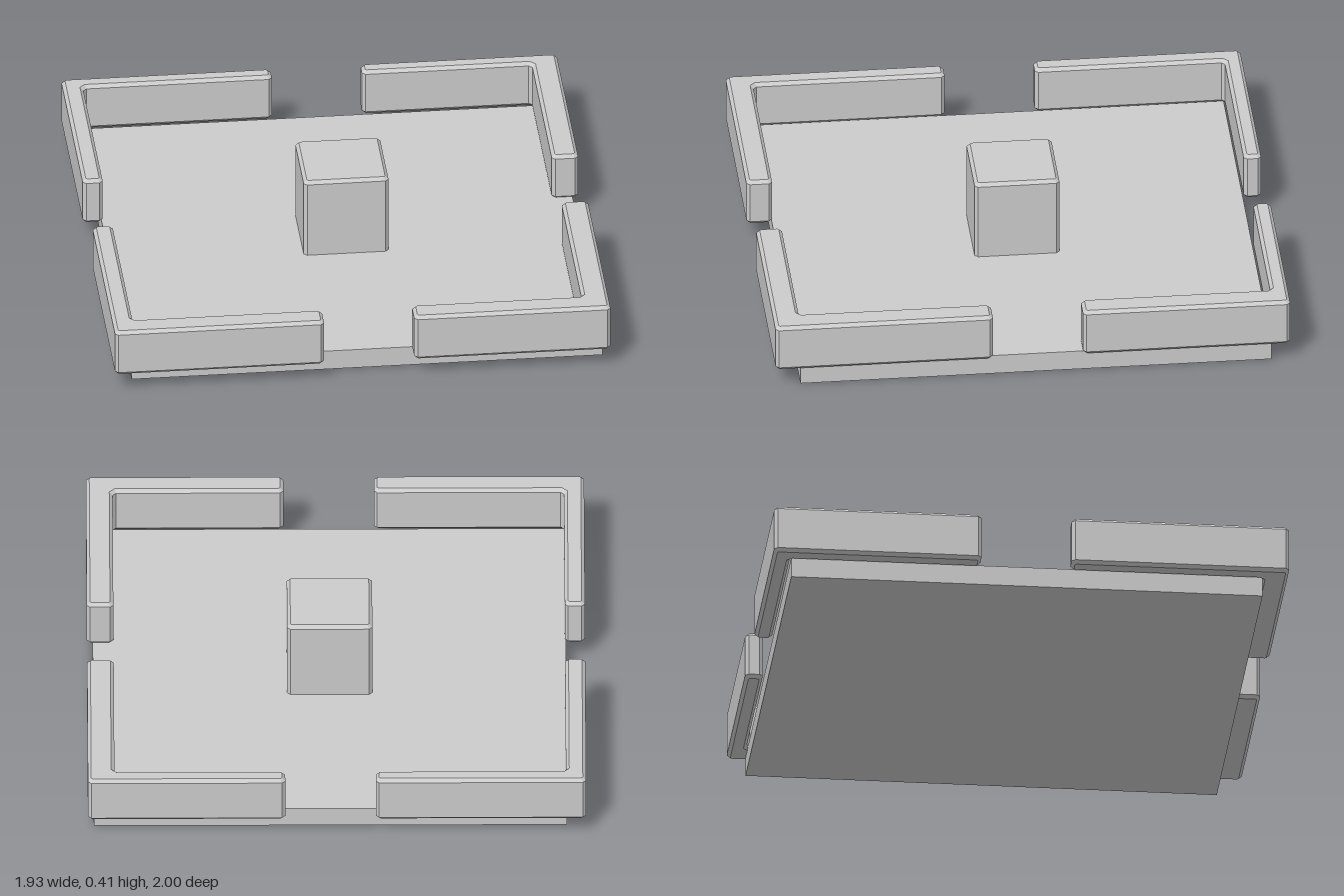
import * as THREE from 'three';

const BEVEL = 0.013;

// Outline in (x, z) with every corner cut off by the bevel width
function cutOutline(points) {
  const pts = points.map(([x, z]) => new THREE.Vector2(x, z));
  const cut = [];
  pts.forEach((p, i) => {
    const prev = pts[(i + pts.length - 1) % pts.length];
    const next = pts[(i + 1) % pts.length];
    for (const q of [prev, next]) {
      cut.push(q.clone().sub(p).setLength(BEVEL).add(p));
    }
  });
  return new THREE.Shape(cut);
}

// Upright block between two heights with chamfered edges
function chamferedBlock(name, points, bottom, top, material) {
  const geometry = new THREE.ExtrudeGeometry(cutOutline(points), {
    depth: top - bottom - 2 * BEVEL,
    bevelEnabled: true,
    bevelSegments: 1,
    bevelSize: BEVEL,
    bevelThickness: BEVEL,
    bevelOffset: -BEVEL,
  });
  geometry.rotateX(Math.PI / 2);
  geometry.translate(0, top - BEVEL, 0);
  const mesh = new THREE.Mesh(geometry, material);
  mesh.name = name;
  return mesh;
}

export function createModel() {
  const model = new THREE.Group();
  model.name = 'walledPlatform';
  const stone = new THREE.MeshStandardMaterial({ color: 0xcccccc });
  stone.name = 'plain grey';

  // Floor slab
  const slab = new THREE.Mesh(new THREE.BoxGeometry(1.83, 0.08, 1.83), stone);
  slab.name = 'floorSlab';
  slab.position.set(0.025, 0.04, -0.013);
  model.add(slab);

  // Four L-shaped corner walls: outer face, inner face and free end on each axis
  const xSides = [
    { name: 'Right', outer: -0.963, inner: -0.885, end: -0.15 },
    { name: 'Left', outer: 0.963, inner: 0.86, end: 0.2 },
  ];
  const zSides = [
    { name: 'back', outer: -1, inner: -0.932, end: -0.195 },
    { name: 'front', outer: 1, inner: 0.9, end: 0.155 },
  ];
  for (const z of zSides) {
    for (const x of xSides) {
      model.add(chamferedBlock(`${z.name}${x.name}Wall`, [
        [x.outer, z.outer], [x.end, z.outer], [x.end, z.inner],
        [x.inner, z.inner], [x.inner, z.end], [x.outer, z.end],
      ], 0.075, 0.267, stone));
    }
  }

  // Central pillar, its foot sunk into the slab
  model.add(chamferedBlock('centralPillar', [
    [-0.14, -0.182], [0.19, -0.182], [0.19, 0.148], [-0.14, 0.148],
  ], 0.05, 0.405, stone));

  return model;
}
